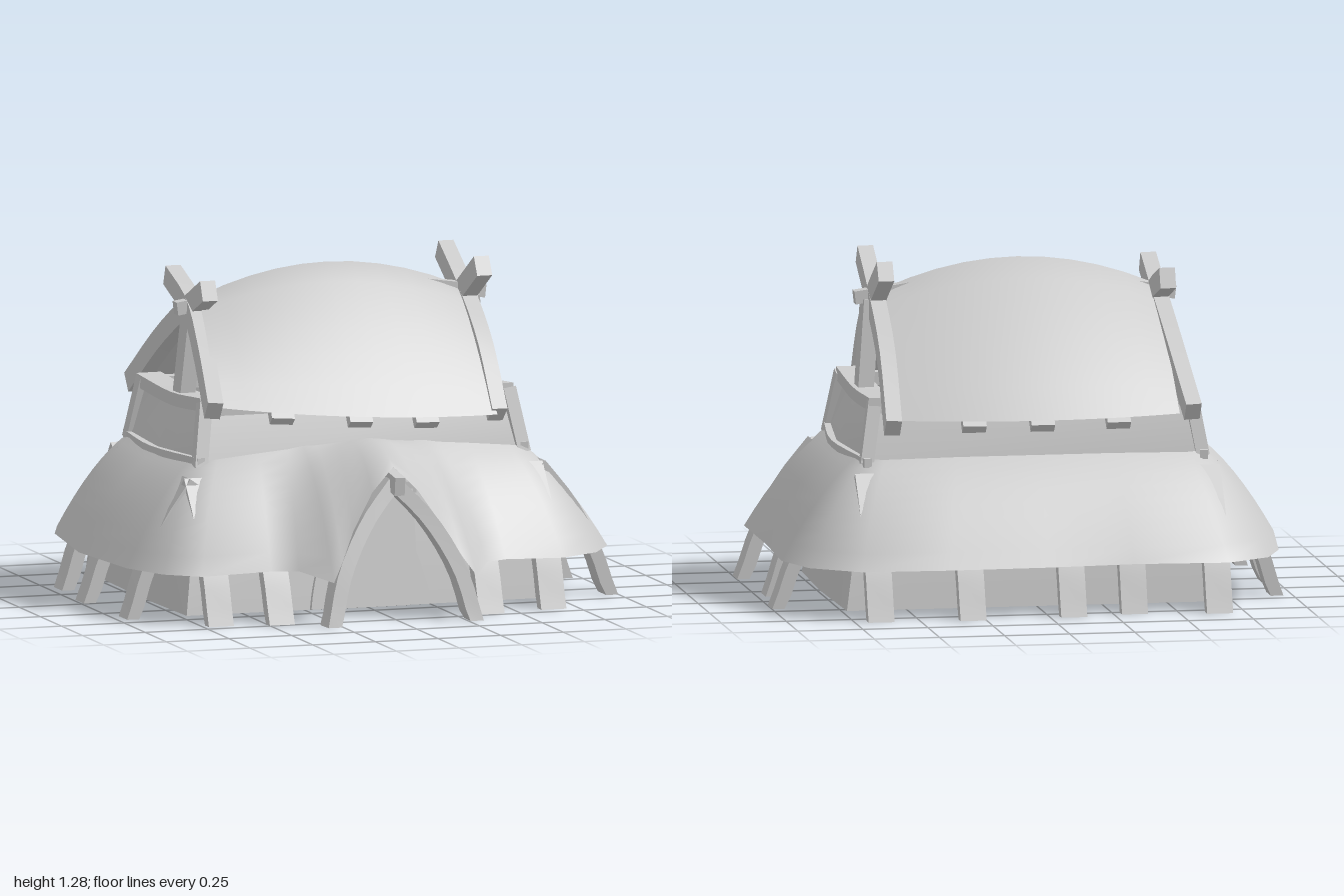
import * as THREE from 'three';
import { toCreasedNormals } from 'three/addons/utils/BufferGeometryUtils.js';

const V = (x, y, z) => new THREE.Vector3(x, y, z);

// Surface through rows of points (top to bottom); ring joins the last column to the first
function surface(rows, ring) {
  const n = rows[0].length, index = [];
  for (let j = 0; j < rows.length - 1; j++) {
    for (let i = 0; i < (ring ? n : n - 1); i++) {
      const a = j * n + i, b = j * n + (i + 1) % n, c = a + n, d = b + n;
      index.push(a, c, b, b, c, d);
    }
  }
  const g = new THREE.BufferGeometry().setFromPoints(rows.flat());
  g.setIndex(index);
  g.computeVertexNormals();
  return g;
}

// Bent rectangular timber: width runs along 'side', depth across it; feet are cut level with the ground
function beamGeometry(points, width, depth, side, steps = 8, openFoot = false) {
  const curve = new THREE.CatmullRomCurve3(points.map(p => V(...p)));
  const pos = [], index = [];
  for (let i = 0; i <= steps; i++) {
    const p = curve.getPoint(i / steps), t = curve.getTangent(i / steps);
    const s = V(...side).addScaledVector(t, -V(...side).dot(t)).normalize();
    const m = V(0, 0, 0).crossVectors(t, s);
    for (const [a, b] of [[-1, -1], [1, -1], [1, 1], [-1, 1]]) {
      const q = p.clone().addScaledVector(s, a * width / 2).addScaledVector(m, b * depth / 2);
      q.y = Math.max(q.y, 0);
      pos.push(q);
    }
    if (i < steps) {
      for (let k = 0; k < 4; k++) {
        const a = i * 4 + k, b = i * 4 + (k + 1) % 4;
        index.push(a, b, a + 4, b, b + 4, a + 4);
      }
    }
  }
  const e = steps * 4;
  index.push(e, e + 1, e + 2, e, e + 2, e + 3);
  if (!openFoot) index.push(0, 2, 1, 0, 3, 2);
  const g = new THREE.BufferGeometry().setFromPoints(pos);
  g.setIndex(index);
  return toCreasedNormals(g, 0.6);
}

// Point on the upper roof: u runs left to right, v from front eave (-1) over the ridge (0) to the back (1)
function roofPoint(u, v) {
  const ridge = V(-0.015 + 0.515 * u, 1.26 - 0.11 * u * u, -0.02);
  const eave = v < 0
    ? V(-0.06 + 0.56 * u, 0.745 - 0.04 * u + 0.015 * u * u, 0.52 - 0.05 * u * u)
    : V(0.54 * u, 0.73, -0.68 + 0.09 * u * u);
  const t = Math.abs(v), p = ridge.lerp(eave, t);
  p.y += 0.16 * t * (1 - t);
  return p;
}

export function createModel() {
  const model = new THREE.Group();
  const clay = new THREE.MeshStandardMaterial({ color: 0xcccccc, side: THREE.DoubleSide });
  clay.name = 'light grey';
  const add = (name, geometry) => {
    const m = new THREE.Mesh(geometry, clay);
    m.name = name;
    model.add(m);
    return m;
  };
  const beam = (name, ...args) => add(name, beamGeometry(...args));

  // Lower skirt roof columns: top edge, bottom edge, bulge, and x, z of the mirrored bottom edge
  const half = [
    [[0, 0.635, 0.36], [0, 0.58, 0.72], 0.04, [0, 0.72]],
    [[0.06, 0.63, 0.36], [0.09, 0.49, 0.74], 0.06, [-0.09, 0.74]],
    [[0.12, 0.625, 0.36], [0.18, 0.35, 0.78], 0.08, [-0.18, 0.78]],
    [[0.19, 0.62, 0.36], [0.24, 0.24, 0.83], 0.08, [-0.24, 0.83]],
    [[0.24, 0.62, 0.36], [0.285, 0.17, 0.865], 0.07, [-0.285, 0.865]],
    [[0.3, 0.61, 0.36], [0.37, 0.2, 0.73], 0.03, [-0.38, 0.73]],
    [[0.42, 0.6, 0.36], [0.46, 0.2, 0.69], 0.04, [-0.48, 0.7]],
    [[0.58, 0.585, 0.36], [0.7, 0.19, 0.66], 0.045, [-0.75, 0.68]],
    [[0.65, 0.575, 0.34], [0.86, 0.19, 0.57], 0.045, [-0.87, 0.58]],
    [[0.665, 0.57, 0.27], [0.955, 0.19, 0.42], 0.04, [-0.95, 0.39]],
    [[0.69, 0.57, -0.05], [0.955, 0.19, -0.05], 0.04, [-0.995, -0.05]],
    [[0.665, 0.57, -0.4], [0.97, 0.19, -0.48], 0.04, [-0.93, -0.53]],
    [[0.65, 0.57, -0.48], [0.9, 0.19, -0.68], 0.04, [-0.86, -0.71]],
    [[0.58, 0.57, -0.51], [0.72, 0.19, -0.82], 0.035, [-0.69, -0.82]],
    [[0.3, 0.575, -0.52], [0.38, 0.19, -0.835], 0.035, [-0.33, -0.795]],
    [[0, 0.575, -0.52], [0, 0.19, -0.825], 0.035, [0, -0.825]],
  ];
  const flip = ([a, b, c, [x, z]]) => [[-a[0], a[1], a[2]], [x, b[1], z], c];
  const columns = [...half, ...half.slice(1, -1).reverse().map(flip)];
  const skirtRows = [];
  for (let j = 0; j <= 8; j++) {
    const t = j / 8;
    skirtRows.push(columns.map(([a, b, bulge]) => {
      const p = V(...a).lerp(V(...b), t);
      p.y += 4 * bulge * t * (1 - t);
      return p;
    }));
  }
  add('skirtRoof', surface(skirtRows, true));

  // Tapered walls, bowed at the skirt and straight along the rim; right half of each ring is mirrored
  const wallRing = (y, pts) => [...pts, ...pts.map(([x, z]) => [-x, z]).reverse()].map(([x, z]) => V(x, y, z));
  const wall = surface([
    wallRing(0.75, [[0.6, 0.28], [0.6, -0.06], [0.61, -0.44]]),
    wallRing(0.57, [[0.65, 0.345], [0.69, -0.05], [0.65, -0.49]]),
    wallRing(0.005, [[0.73, 0.44], [0.745, -0.05], [0.735, -0.57]]),
  ], true);
  add('walls', toCreasedNormals(wall, 0.4));

  // Upper saddle roof
  const roofRows = [];
  for (let j = -6; j <= 6; j++) {
    const row = [];
    for (let i = -5; i <= 5; i++) row.push(roofPoint(i / 5, -j / 6));
    roofRows.push(row);
  }
  add('upperRoof', surface(roofRows.reverse(), false));

  // Rafters beneath the upper roof
  for (const u of [-0.55, 0, 0.48]) {
    for (const s of [-1, 1]) {
      const pts = [0.05, 0.35, 0.7, 0.98].map(t => {
        const p = roofPoint(u, s * t);
        return [p.x, p.y - 0.045, p.z];
      });
      beam('rafter', pts, 0.09, 0.04, [1, 0, 0]);
    }
  }

  // Crossed gable boards at both ends
  const boards = [
    [[0.53, 1.25, 0.21], [0.53, 1.115, -0.02], [0.545, 0.95, -0.34], [0.57, 0.71, -0.64]],
    [[0.53, 1.25, -0.25], [0.53, 1.115, -0.02], [0.52, 0.95, 0.23], [0.51, 0.715, 0.44]],
    [[-0.55, 1.2, 0.17], [-0.55, 1.11, -0.03], [-0.56, 0.95, -0.33], [-0.585, 0.74, -0.62]],
    [[-0.55, 1.2, -0.27], [-0.55, 1.11, -0.03], [-0.585, 0.97, 0.21], [-0.635, 0.79, 0.48]],
  ];
  boards.forEach(p => beam('gableBoard', p, 0.06, 0.08, [1, 0, 0], 10));

  // Ridge pole, gable posts, rails and eave beams
  beam('ridgePole', [[-0.62, 1.11, -0.02], [0, 1.19, -0.02], [0.61, 1.12, -0.02]], 0.05, 0.05, [0, 0, 1]);
  for (const s of [-1, 1]) {
    beam('gablePost', [[s * 0.58, 0.74, -0.05], [s * 0.55, 1.11, -0.02]], 0.09, 0.06, [0, 0, 1], 1);
    beam('gableRail', [[s * 0.575, 0.785, 0.29], [s * 0.575, 0.76, -0.06], [s * 0.58, 0.775, -0.46]], 0.05, 0.1, [0, 1, 0]);
    beam('lowerRail', [[s * 0.645, 0.575, 0.36], [s * 0.69, 0.565, -0.06], [s * 0.645, 0.56, -0.52]], 0.035, 0.03, [0, 1, 0]);
    for (const [z0, z1] of [[0.34, 0.28], [-0.48, -0.43]]) {
      beam('cornerPost', [[s * 0.645, 0.55, z0], [s * 0.605, 0.79, z1]], 0.05, 0.05, [1, 0, 0], 1);
    }
  }
  for (const z of [0.27, -0.43]) {
    beam('eaveBeam', [[-0.61, 0.765, z], [0.61, 0.765, z]], 0.05, 0.05, [0, 1, 0], 1);
  }

  // Leaning ribs that carry the skirt roof, placed by their feet
  const feet = [
    [-0.65, -0.82], [-0.33, -0.78], [-0.09, -0.82], [0.3, -0.84], [0.65, -0.82],
    [0.975, -0.39], [0.945, -0.08], [0.975, 0.37], [-0.94, -0.39], [-0.965, -0.06], [-0.94, 0.38],
    [-0.68, 0.68], [-0.45, 0.72], [0.39, 0.71], [0.65, 0.67],
  ];
  for (const [x, z] of feet) {
    const end = Math.abs(x) > 0.9;
    const tx = THREE.MathUtils.clamp(x, -0.69, 0.69), tz = THREE.MathUtils.clamp(z, -0.53, 0.39);
    const at = (t, y) => [x + (tx - x) * t, y, z + (tz - z) * t];
    beam('skirtRib', [at(0, -0.02), at(0.24, 0.18), at(0.58, 0.36), at(1, 0.51)],
      0.1, 0.05, end ? [0, 0, 1] : [1, 0, 0], 8, true);
  }

  // Pointed porch arch with its small ridge beam
  for (const s of [-1, 1]) {
    beam('porchArch', [[s * 0.285, -0.02, 0.83], [s * 0.23, 0.19, 0.79], [s * 0.125, 0.38, 0.74], [0, 0.52, 0.69]],
      0.09, 0.055, [0, 0, 1], 10, true);
  }
  beam('porchBeam', [[0, 0.57, 0.38], [0, 0.515, 0.8]], 0.04, 0.07, [1, 0, 0], 1);

  // Door recess: pointed panel, posts and lintel
  const arch = new THREE.Shape();
  arch.moveTo(-0.24, 0.005);
  arch.lineTo(0.24, 0.005);
  arch.quadraticCurveTo(0.2, 0.3, 0, 0.48);
  arch.quadraticCurveTo(-0.2, 0.3, -0.24, 0.005);
  const panel = add('doorArch', new THREE.ExtrudeGeometry(arch, { depth: 0.02, bevelEnabled: false }));
  panel.rotation.x = -0.17;
  panel.position.z = 0.445;
  const door = add('door', new THREE.BoxGeometry(0.3, 0.41, 0.02));
  door.rotation.x = -0.17;
  door.position.set(0, 0.21, 0.435);
  for (const s of [-1, 1]) {
    const post = add('doorPost', new THREE.BoxGeometry(0.05, 0.43, 0.08));
    post.rotation.x = -0.17;
    post.position.set(s * 0.17, 0.22, 0.37);
  }
  const lintel = add('doorLintel', new THREE.BoxGeometry(0.42, 0.05, 0.08));
  lintel.position.set(0, 0.44, 0.33);

  return model;
}
